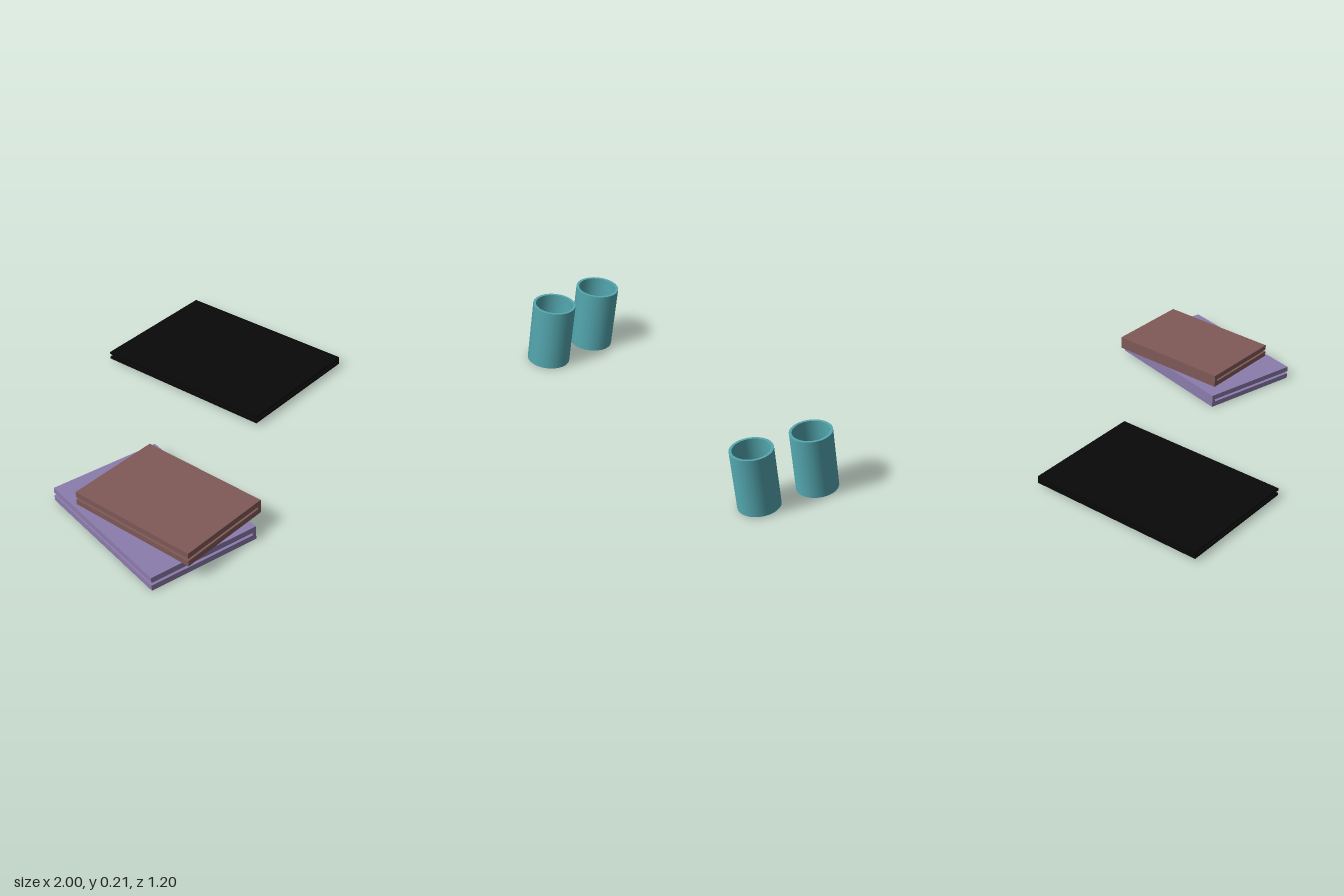
import * as THREE from 'three';

const material = (color) => new THREE.MeshStandardMaterial({ color });

// Hollow case binding: two boards joined by a spine on the +x side
function makeBook(name, color, [w, h, d], board, [x, y, z], turn) {
  const s = new THREE.Shape();
  const l = -w / 2, r = w / 2, spine = 0.012;
  s.moveTo(l, 0);
  s.lineTo(r, 0);
  s.lineTo(r, h);
  s.lineTo(l, h);
  s.lineTo(l, h - board);
  s.lineTo(r - spine, h - board);
  s.lineTo(r - spine, board);
  s.lineTo(l, board);
  s.closePath();
  const geo = new THREE.ExtrudeGeometry(s, { depth: d, bevelEnabled: false });
  geo.translate(0, 0, -d / 2);
  const mesh = new THREE.Mesh(geo, material(color));
  mesh.name = name;
  mesh.position.set(x, y, z);
  mesh.rotation.y = turn;
  return mesh;
}

// Straight-sided cup, open at the top; each ring is doubled to keep edges sharp
function makeCup(name, x, z) {
  const R = 0.07, r = 0.061, H = 0.211, floor = 0.012;
  const corners = [[0, 0], [R, 0], [R, H], [r, H], [r, floor], [0, floor]];
  const group = new THREE.Group();
  group.name = name;
  const parts = ['base', 'outerWall', 'rim', 'innerWall', 'cupFloor'];
  const mat = material(0x54a8b0);
  parts.forEach((part, i) => {
    const profile = [corners[i], corners[i + 1]].map((p) => new THREE.Vector2(...p));
    const mesh = new THREE.Mesh(new THREE.LatheGeometry(profile, 32), mat);
    mesh.name = part;
    group.add(mesh);
  });
  group.position.set(x, 0.003, z);
  return group;
}

export function createModel() {
  const model = new THREE.Group();
  model.name = 'booksAndCups';

  // Stack of two books and a separate flat folder
  model.add(
    makeBook('lowerBook', 0x8c7cac, [0.357, 0.045, 0.513], 0.018, [-0.795, 0, 0.228], -0.104),
    makeBook('upperBook', 0x805a58, [0.307, 0.044, 0.438], 0.018, [-0.768, 0.046, 0.265], 0.114),
    makeBook('blackFolder', 0x080808, [0.447, 0.026, 0.637], 0.008, [-0.079, 0.007, -0.257], 0.14)
  );

  // Pair of cups
  model.add(makeCup('cupInner', 0.73, 0.497), makeCup('cupOuter', 0.927, 0.53));
  return model;
}
